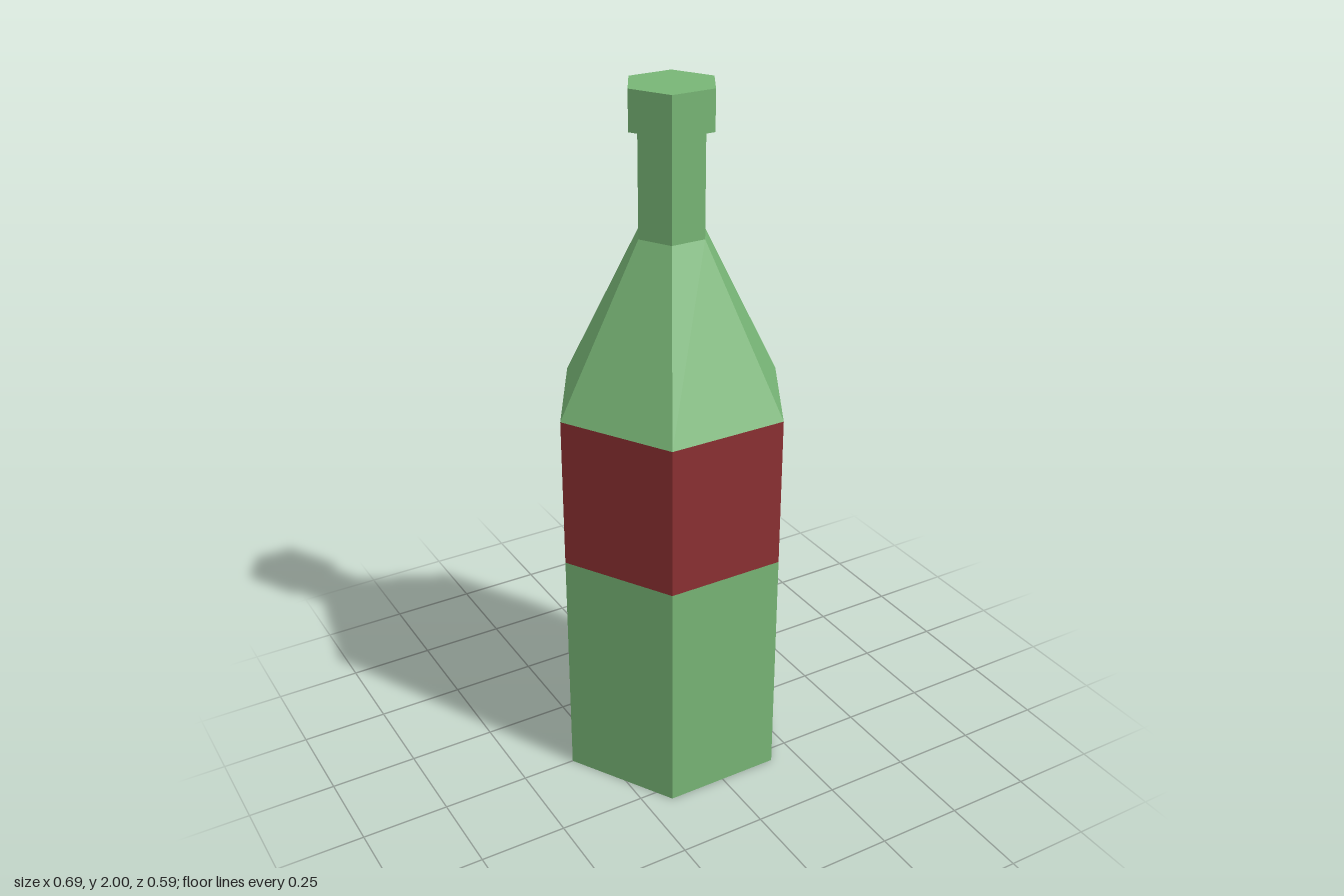
import * as THREE from 'three';

const glass = new THREE.MeshStandardMaterial({ color: 0x78b676, flatShading: true });
glass.name = 'green glass';
const paper = new THREE.MeshStandardMaterial({ color: 0x8c3032, flatShading: true });
paper.name = 'red label';

// Heights and corner radii of the six-sided bottle
const BODY = 0.343, NECK = 0.1, LIP = 0.126;

// Six-sided ring with corners on the x axis; caps only where they are visible
function section(name, y0, y1, r0, r1, material, { bottom = false, top = false } = {}) {
  const part = new THREE.Group();
  part.name = name;
  const wall = new THREE.Mesh(
    new THREE.CylinderGeometry(r1, r0, y1 - y0, 6, 1, true, Math.PI / 2), material);
  wall.name = name + 'Wall';
  wall.position.y = (y0 + y1) / 2;
  part.add(wall);
  const addCap = (y, r, turn, suffix) => {
    const cap = new THREE.Mesh(new THREE.CircleGeometry(r, 6), material);
    cap.name = name + suffix;
    cap.rotation.x = turn;
    cap.position.y = y;
    part.add(cap);
  };
  if (bottom) addCap(y0, r0, Math.PI / 2, 'Bottom');
  if (top) addCap(y1, r1, -Math.PI / 2, 'Top');
  return part;
}

export function createModel() {
  const bottle = new THREE.Group();
  bottle.name = 'bottle';
  bottle.add(
    section('body', 0, 0.697, BODY, BODY, glass, { bottom: true }),
    section('label', 0.697, 1.135, BODY, BODY, paper),
    section('shoulder', 1.135, 1.603, BODY, NECK, glass),
    section('neck', 1.603, 1.89, NECK, NECK, glass),
    section('lip', 1.89, 2, LIP, LIP, glass, { bottom: true, top: true }),
  );
  return bottle;
}
